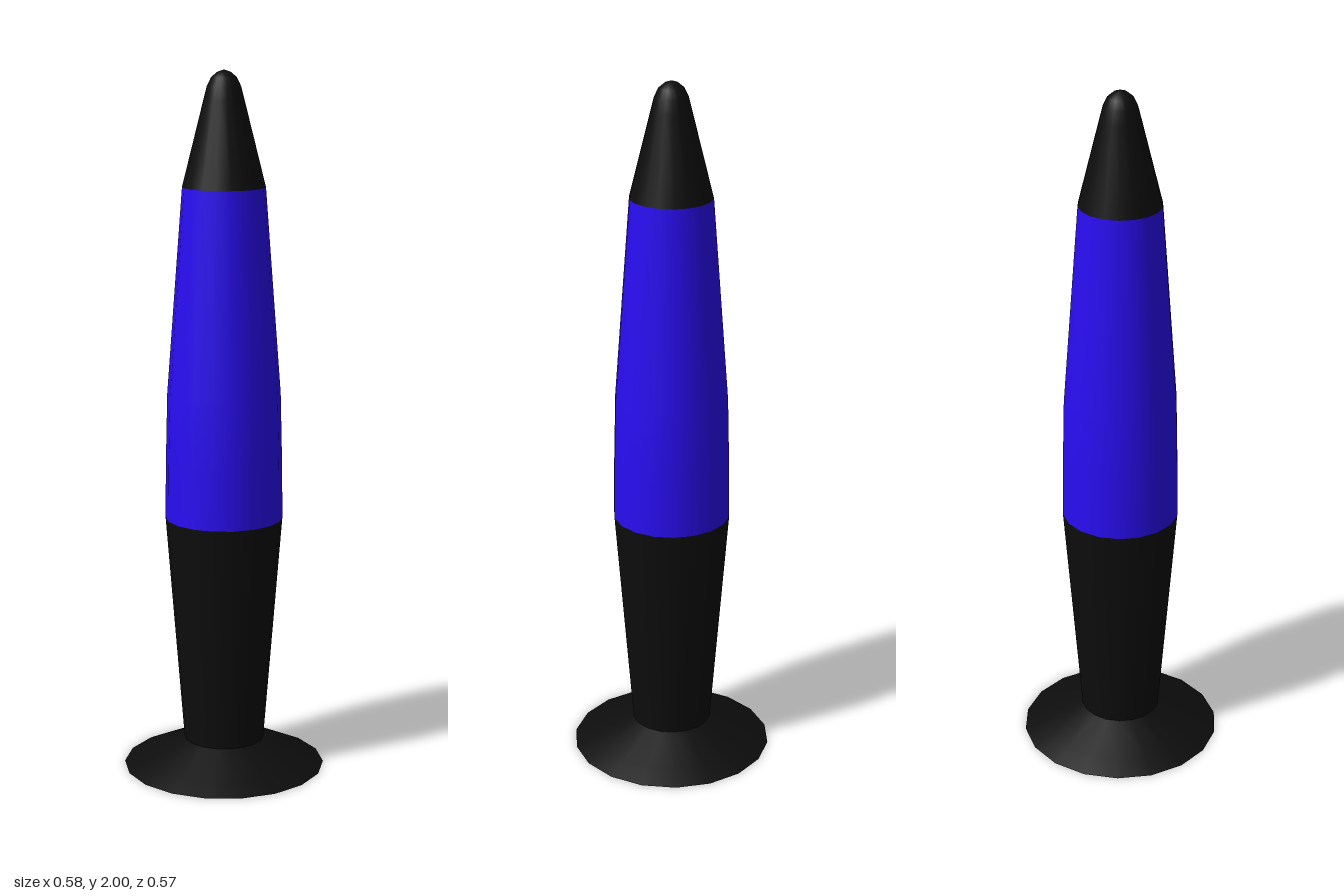
import * as THREE from 'three';

const SIDES = 18;
const black = new THREE.MeshStandardMaterial({ color: 0x0d0d0d });
const blue = new THREE.MeshStandardMaterial({ color: 0x290df2 });

// Turned part from [radius, height] pairs, listed bottom to top
function turned(name, profile, material) {
  const points = profile.map(([r, y]) => new THREE.Vector2(r, y));
  const mesh = new THREE.Mesh(new THREE.LatheGeometry(points, SIDES, Math.PI / 2), material);
  mesh.name = name;
  return mesh;
}

export function createModel() {
  const lamp = new THREE.Group();
  lamp.name = 'lavaLamp';

  // Flared foot with a flat underside
  lamp.add(turned('footUnderside', [[0, 0], [0.29, 0]], black));
  lamp.add(turned('foot', [[0.29, 0], [0.24, 0.024], [0.115, 0.08]], black));

  // Stem widening upwards to hold the glass
  lamp.add(turned('stem', [[0.115, 0.08], [0.167, 0.74]], black));

  // Coloured vessel, nearly straight below and tapering above
  lamp.add(turned('glass', [[0.167, 0.74], [0.165, 0.9], [0.16, 1.1], [0.116, 1.68]], blue));

  // Conical cap with a rounded tip
  lamp.add(turned('cap', [
    [0.116, 1.68], [0.056, 1.92], [0.047, 1.955], [0.035, 1.98], [0.018, 1.994], [0, 2],
  ], black));

  return lamp;
}
